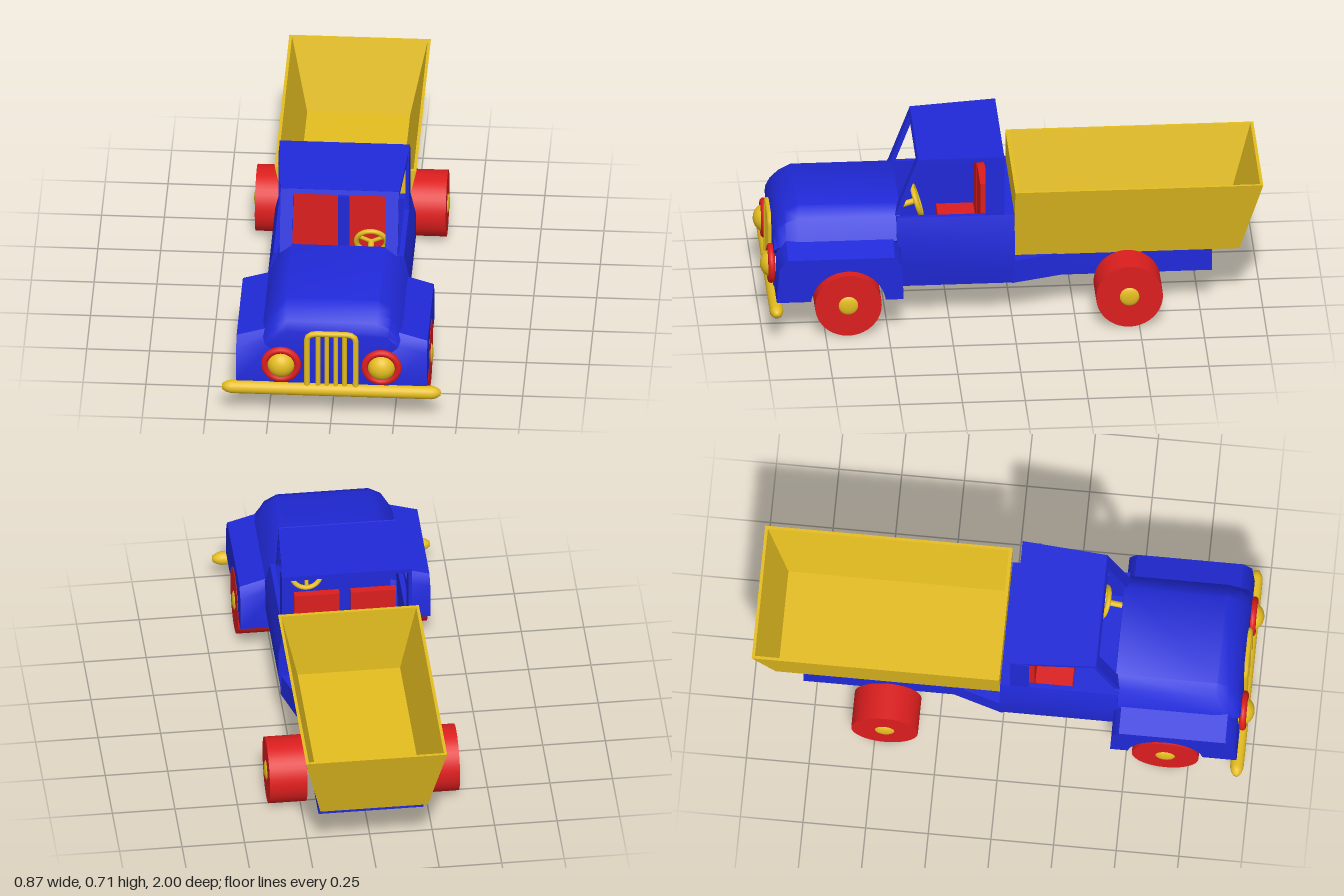
import * as THREE from 'three';
import { toCreasedNormals } from 'three/addons/utils/BufferGeometryUtils.js';

const paint = (color) => new THREE.MeshStandardMaterial({ color });
const blue = paint(0x2029d8);
const red = paint(0xdc1e1e);
const yellow = paint(0xe4bd20);

// Skin through closed rings of [x, y] points, each at its own z; both ends capped
function loft(sections, crease = 0.6) {
  const pos = [];
  const tri = (...pts) => pts.forEach((p) => pos.push(...p));
  const rings = sections.map(([z, ring]) => ring.map(([x, y]) => [x, y, z]));
  for (let i = 0; i < rings.length - 1; i++) {
    const p = rings[i], q = rings[i + 1];
    p.forEach((a, j) => {
      const k = (j + 1) % p.length;
      tri(a, p[k], q[k]);
      tri(a, q[k], q[j]);
    });
  }
  const cap = (ring, flip) => {
    const flat = ring.map((p) => new THREE.Vector2(p[0], p[1]));
    for (const [a, b, c] of THREE.ShapeUtils.triangulateShape(flat, [])) {
      flip ? tri(ring[a], ring[c], ring[b]) : tri(ring[a], ring[b], ring[c]);
    }
  };
  cap(rings[0], true);
  cap(rings[rings.length - 1], false);
  const g = new THREE.BufferGeometry();
  g.setAttribute('position', new THREE.Float32BufferAttribute(pos, 3));
  return toCreasedNormals(g, crease);
}

// Symmetric ring from its right half, listed bottom to top
const mirrored = (half) => [...half, ...half.map(([x, y]) => [-x, y]).reverse()];
const rect = (w, y0, y1) => mirrored([[w, y0], [w, y1]]);

export function createModel() {
  const truck = new THREE.Group();
  truck.name = 'truck';
  const add = (name, geometry, material, x = 0, y = 0, z = 0, parent = truck) => {
    const mesh = new THREE.Mesh(geometry, material);
    mesh.name = name;
    mesh.position.set(x, y, z);
    parent.add(mesh);
    return mesh;
  };

  // Hood with a rounded nose
  const hoodRing = (s, w) => mirrored([[0.23, 0.155], [0.23, 0.3], [0.28, 0.365], [0.235, 0.455], [0.185, 0.488]]
    .map(([x, y]) => [y > 0.3 ? x * w : x, y > 0.3 ? 0.3 + (y - 0.3) * s : y]));
  add('hood', loft([
    [0.445, hoodRing(1, 1)], [0.85, hoodRing(1, 1)], [0.9, hoodRing(0.87, 0.99)],
    [0.93, hoodRing(0.7, 0.97)], [0.948, hoodRing(0.5, 0.95)],
  ], 0.7), blue);

  // Front fenders with wheel arches, tops sloping outward
  const side = new THREE.Shape();
  side.moveTo(0.44, 0.155);
  side.lineTo(0.445, 0.3);
  side.lineTo(0.475, 0.34);
  side.lineTo(0.9, 0.34);
  side.lineTo(0.935, 0.3);
  side.lineTo(0.945, 0.155);
  side.absarc(0.66, 0.135, 0.15, 0.134, Math.PI - 0.134, false);
  for (const s of [-1, 1]) {
    const g = new THREE.ExtrudeGeometry(side, { depth: 0.16, bevelEnabled: false, curveSegments: 16 });
    g.rotateY(-Math.PI / 2).translate(s < 0 ? -0.22 : 0.38, 0, 0);
    const p = g.attributes.position;
    for (let i = 0; i < p.count; i++) {
      if (p.getY(i) > 0.29 && Math.abs(p.getZ(i) - 0.66) > 0.16) {
        p.setY(i, p.getY(i) + 0.3 * (0.38 - Math.abs(p.getX(i))));
      }
    }
    add(s < 0 ? 'rightFender' : 'leftFender', toCreasedNormals(g, 0.7), blue);
  }

  // Open cab tub, rear wall and tapering chassis
  const tub = mirrored([[0.265, 0.155], [0.28, 0.25], [0.28, 0.365], [0.26, 0.455], [0.24, 0.455], [0.25, 0.2]]);
  add('cabTub', loft([[0, tub], [0.46, tub]]), blue);
  const wall = mirrored([[0.265, 0.155], [0.28, 0.25], [0.28, 0.365], [0.26, 0.455]]);
  add('cabRearWall', loft([[-0.01, wall], [0.03, wall]]), blue);
  add('chassis', loft([
    [-0.8, rect(0.21, 0.155, 0.252)], [-0.2, rect(0.21, 0.155, 0.252)], [0, rect(0.27, 0.155, 0.252)],
  ], 0.4), blue);

  // Slanted windshield frame
  const frame = new THREE.Shape();
  [[-0.235, 0], [0.235, 0], [0.235, 0.276], [-0.235, 0.276]]
    .forEach(([x, y], i) => (i ? frame.lineTo(x, y) : frame.moveTo(x, y)));
  const opening = new THREE.Path();
  [[-0.185, 0.03], [-0.185, 0.256], [0.185, 0.256], [0.185, 0.03]]
    .forEach(([x, y], i) => (i ? opening.lineTo(x, y) : opening.moveTo(x, y)));
  frame.holes.push(opening);
  const windshield = new THREE.ExtrudeGeometry(frame, { depth: 0.018, bevelEnabled: false });
  windshield.rotateX(-0.36);
  add('windshieldFrame', windshield, blue, 0, 0.437, 0.452);

  // Roof and rear pillars
  add('roof', loft([[0.03, rect(0.26, 0.692, 0.711)], [0.372, rect(0.237, 0.682, 0.7)]]), blue);
  for (const s of [-1, 1]) {
    add('rearPillar', new THREE.BoxGeometry(0.014, 0.25, 0.075), blue, s * 0.253, 0.575, 0.067);
  }

  // Seats
  for (const s of [-1, 1]) {
    add('seatBack', new THREE.BoxGeometry(0.18, 0.365, 0.03), red, s * 0.113, 0.383, 0.107);
    add('seatCushion', new THREE.BoxGeometry(0.18, 0.08, 0.15), red, s * 0.113, 0.24, 0.195);
  }

  // Steering wheel with three spokes and a column
  const steering = new THREE.Group();
  steering.name = 'steeringWheel';
  steering.position.set(0.125, 0.465, 0.37);
  steering.rotation.x = 0.3;
  truck.add(steering);
  add('rim', new THREE.TorusGeometry(0.06, 0.01, 10, 32), yellow, 0, 0, 0, steering);
  for (let i = 0; i < 3; i++) {
    const spoke = new THREE.CylinderGeometry(0.008, 0.008, 0.06, 8).translate(0, 0.03, 0);
    spoke.rotateZ(Math.PI / 3 + (i * Math.PI * 2) / 3);
    add('spoke', spoke, yellow, 0, 0, 0, steering);
  }
  add('column', new THREE.CylinderGeometry(0.012, 0.012, 0.1, 12).rotateX(Math.PI / 2), yellow, 0, 0, 0.05, steering);

  // Hollow dump bed: up the outside, over the rim, down to the inner floor
  const bedRing = (w, front, back) => [[-w, front], [w, front], [w, back], [-w, back]];
  const bed = loft([
    [0.25, bedRing(0.215, 0.012, 0.91)],
    [0.56, bedRing(0.282, 0.012, 1)],
    [0.56, bedRing(0.27, 0.026, 0.988)],
    [0.265, bedRing(0.205, 0.026, 0.9)],
  ], 0.5);
  add('dumpBed', bed.rotateX(-Math.PI / 2), yellow);

  // Wheels with domed hubs
  for (const z of [0.66, -0.46]) {
    for (const s of [-1, 1]) {
      const wheel = new THREE.Group();
      wheel.name = (z > 0 ? 'front' : 'rear') + (s < 0 ? 'RightWheel' : 'LeftWheel');
      wheel.position.set(s * 0.305, 0.133, z);
      truck.add(wheel);
      add('tire', new THREE.CylinderGeometry(0.133, 0.133, 0.15, 40).rotateZ(Math.PI / 2), red, 0, 0, 0, wheel);
      add('hub', new THREE.SphereGeometry(0.04, 20, 14).scale(0.3, 1, 1), yellow, s * 0.073, 0, 0, wheel);
    }
    add('axle', new THREE.CylinderGeometry(0.02, 0.02, 0.5, 12).rotateZ(Math.PI / 2), blue, 0, 0.15, z);
  }

  // Headlights
  for (const s of [-1, 1]) {
    add('headlightRing', new THREE.TorusGeometry(0.066, 0.014, 12, 40), red, s * 0.2, 0.244, 0.957);
    add('headlightLens', new THREE.SphereGeometry(0.056, 28, 18).scale(1, 1, 0.9), yellow, s * 0.2, 0.244, 0.95);
  }

  // Grille: arched surround and four bars
  const tube = (pts, r) => new THREE.TubeGeometry(
    new THREE.CatmullRomCurve3(pts.map(([x, y]) => new THREE.Vector3(x, y, 0)), false, 'catmullrom', 0.2), 40, r, 10);
  add('grilleSurround', tube([[-0.097, 0.15], [-0.097, 0.36], [-0.085, 0.382], [-0.06, 0.388], [0, 0.388],
    [0.06, 0.388], [0.085, 0.382], [0.097, 0.36], [0.097, 0.15]], 0.012), yellow, 0, 0, 0.952);
  for (const x of [-0.053, -0.018, 0.018, 0.053]) {
    add('grilleBar', new THREE.CylinderGeometry(0.01, 0.01, 0.235, 10), yellow, x, 0.268, 0.952);
  }

  // Bumper with tapered ends
  const profile = [[0, -0.436], [0.012, -0.434], [0.022, -0.418], [0.027, -0.4],
    [0.027, 0.4], [0.022, 0.418], [0.012, 0.434], [0, 0.436]].map(([r, y]) => new THREE.Vector2(r, y));
  add('bumper', new THREE.LatheGeometry(profile, 20).rotateZ(Math.PI / 2), yellow, 0, 0.128, 0.948);

  return truck;
}
